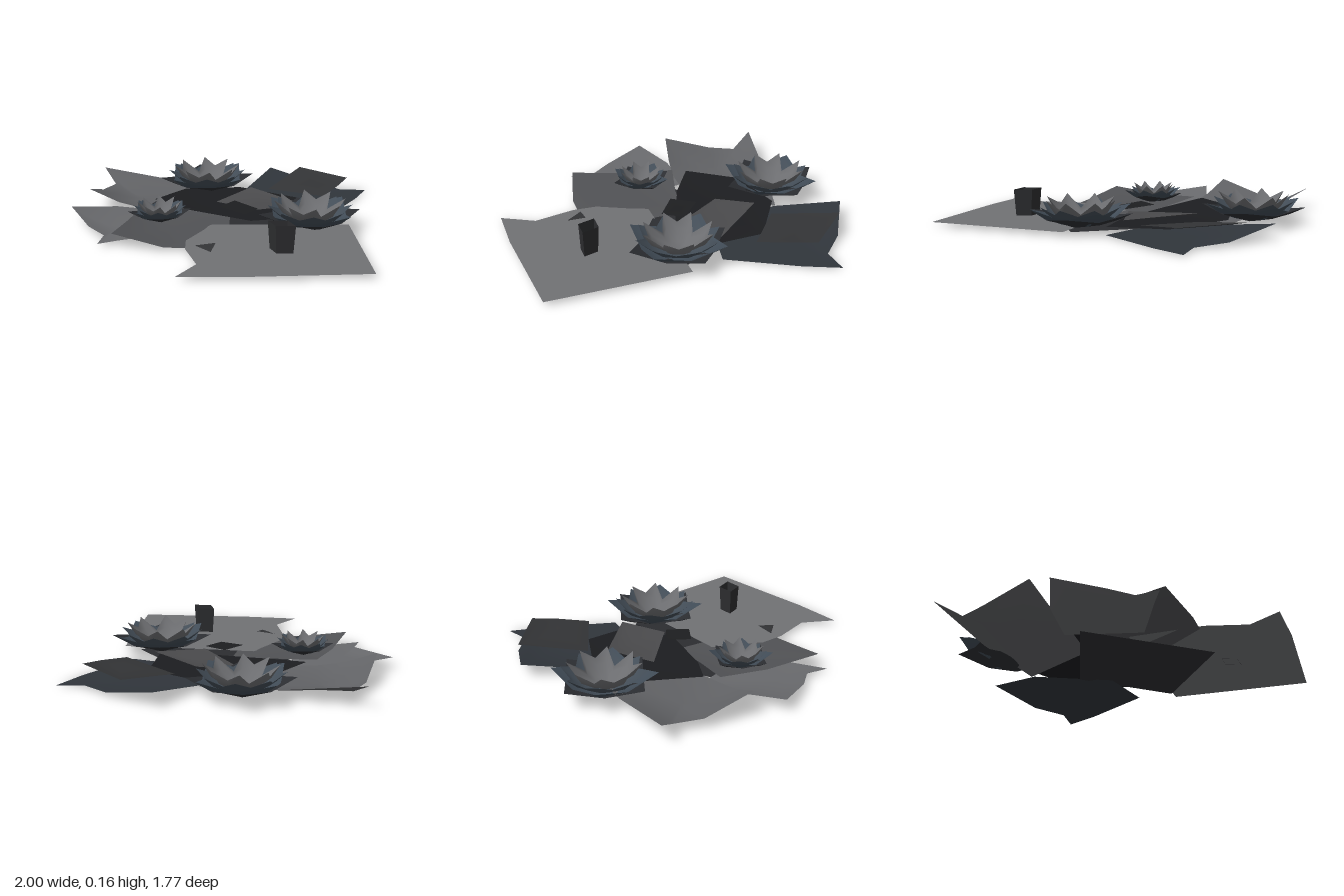
import * as THREE from 'three';

const paint = color => new THREE.MeshStandardMaterial({ color, side: THREE.DoubleSide });

// Sheet lofted through closed rings of [x, y, z] points, its first ring closed to the middle
function loft(name, color, rings) {
  const n = rings[0].length;
  const pos = rings.flat(2);
  const index = [];
  for (let r = 0; r < rings.length - 1; r++) {
    for (let i = 0; i < n; i++) {
      const a = r * n + i, b = r * n + (i + 1) % n, c = a + n, d = b + n;
      index.push(a, b, c, b, d, c);
    }
  }
  const mid = [0, 1, 2].map(k => rings[0].reduce((s, p) => s + p[k], 0) / n);
  pos.push(...mid);
  for (let i = 0; i < n; i++) index.push(rings.length * n, (i + 1) % n, i);
  const g = new THREE.BufferGeometry();
  g.setAttribute('position', new THREE.Float32BufferAttribute(pos, 3));
  g.setIndex(index);
  g.computeVertexNormals();
  const mesh = new THREE.Mesh(g, paint(color));
  mesh.name = name;
  return mesh;
}

// Thin leaf: outline of [x, y, z] corners, dished towards a low middle
function leaf(name, color, midY, outline) {
  const n = outline.length;
  const cx = outline.reduce((s, p) => s + p[0], 0) / n;
  const cz = outline.reduce((s, p) => s + p[2], 0) / n;
  const rings = [0.25, 0.5, 0.75, 1].map(t => outline.map(([x, y, z]) =>
    [cx + (x - cx) * t, midY + (y - midY) * t * t, cz + (z - cz) * t]));
  return loft(name, color, rings);
}

// Upturned ring of pointed petals; each step is [tipRadius, valleyRadius, tipY, valleyY].
// Every second valley is drawn in by the factor split, which parts the petals.
function petalRing(name, color, count, turn, steps, split = 1) {
  const rings = steps.map(([rt, rv, yt, yv]) => Array.from({ length: count * 2 }, (_, i) => {
    const a = turn + i * Math.PI / count;
    const r = i % 2 === 0 ? rt : i % 4 === 1 ? rv * split : rv;
    const y = i % 2 === 0 ? yt : i % 4 === 1 ? yv * split : yv;
    return [r * Math.cos(a), y, r * Math.sin(a)];
  }));
  return loft(name, color, rings);
}

function flower(x, y, z, scale, heightScale) {
  const g = new THREE.Group();
  g.name = 'waterFlower';
  // Square sepal sheet under the bloom
  g.add(petalRing('sepals', 0x2c2e32, 4, Math.PI / 4, [
    [0.1, 0.075, 0, 0], [0.19, 0.135, 0.03, 0.02], [0.264, 0.187, 0.065, 0.035]]));
  // Wide outer petals
  g.add(petalRing('outerPetals', 0x414c57, 4, 0.16, [
    [0.1, 0.08, 0.005, 0.005], [0.19, 0.14, 0.04, 0.025], [0.262, 0.185, 0.09, 0.045]]));
  // Middle petals
  g.add(petalRing('middlePetals', 0x434d57, 8, 0.16, [
    [0.09, 0.085, 0.012, 0.012], [0.16, 0.145, 0.05, 0.045], [0.215, 0.165, 0.1, 0.065]]));
  // Upright inner petals, parted by four gaps
  g.add(petalRing('innerPetals', 0x6c6d70, 8, 0.08, [
    [0.07, 0.065, 0.02, 0.02], [0.14, 0.125, 0.065, 0.06], [0.183, 0.145, 0.13, 0.09]], 0.72));
  g.position.set(x, y, z);
  g.scale.set(scale, heightScale, scale);
  return g;
}

export function createModel() {
  const model = new THREE.Group();
  model.name = 'waterLilies';

  // Large flat leaf at the front left
  model.add(leaf('flatLeaf', 0x707174, 0.03, [
    [0.55, 0.03, -0.22], [1, 0.03, 0.35], [0.52, 0.03, 0.73], [0.29, 0.03, 0.885],
    [0.27, 0.03, 0.7], [0.1, 0.03, 0.56], [-0.12, 0.03, 0.25], [0.2, 0.03, 0.03]]));

  // Dark leaf lying lowest, under the middle
  model.add(leaf('bottomLeaf', 0x2c2d30, 0.01, [
    [0.48, 0.015, -0.17], [-0.04, 0.015, -0.3], [-0.37, 0.015, 0.19], [0.32, 0.015, 0.385]]));

  // Broad leaf with two raised tips
  model.add(leaf('sideLeaf', 0x616265, 0.02, [
    [-1, 0.12, -0.13], [-0.62, 0.06, -0.31], [-0.25, 0.03, -0.45], [-0.2, 0.02, 0],
    [-0.45, 0.04, 0.18], [-0.58, 0.07, 0.24], [-0.73, 0.135, 0.305],
    [-0.84, 0.06, 0.07], [-0.87, 0.055, -0.07]]));

  // Two overlapping front leaves
  model.add(leaf('lowerFrontLeaf', 0x68696c, 0.02, [
    [-0.715, 0.077, 0.46], [-0.49, 0.04, 0.58], [-0.355, 0.03, 0.62], [-0.3, 0.026, 0.73],
    [-0.25, 0.026, 0.63], [-0.1, 0.02, 0.35], [-0.4, 0.02, 0.1], [-0.58, 0.05, 0.25]]));
  model.add(leaf('upperFrontLeaf', 0x515255, 0.035, [
    [-0.45, 0.07, 0.18], [-0.36, 0.06, 0.42], [-0.24, 0.08, 0.695], [0, 0.03, 0.6],
    [0.1, 0.025, 0.53], [0.1, 0.02, 0.2], [-0.03, 0.03, 0], [-0.24, 0.05, 0.1]]));

  // Back leaf with a smaller raised leaf above it
  model.add(leaf('backLeaf', 0x30353b, 0.015, [
    [-0.285, 0.085, -0.785], [0, 0.03, -0.82], [0.18, 0.02, -0.8], [0.29, 0.015, -0.89],
    [0.33, 0.015, -0.7], [0.37, 0.015, -0.32], [0.1, 0.01, -0.2], [-0.24, 0.03, -0.44]]));
  model.add(leaf('raisedBackLeaf', 0x333436, 0.085, [
    [-0.1, 0.11, -0.81], [0.24, 0.108, -0.76], [0.257, 0.095, -0.63],
    [0.26, 0.075, -0.46], [-0.09, 0.06, -0.46]]));

  // Leaves in the middle
  model.add(leaf('centreLeaf', 0x1c1d20, 0.035, [
    [-0.46, 0.065, -0.19], [-0.45, 0.075, 0.1], [-0.24, 0.05, 0.09], [0.1, 0.025, 0],
    [0.3, 0.03, -0.2], [0.1, 0.04, -0.46], [-0.26, 0.05, -0.43]]));
  model.add(leaf('middleLeaf', 0x4a4a4c, 0.06, [
    [-0.14, 0.085, -0.36], [-0.21, 0.045, -0.13], [0.1, 0.07, -0.06], [0.25, 0.07, -0.28]]));
  model.add(leaf('smallLeaf', 0x1d1e20, 0.085, [
    [-0.05, 0.093, -0.07], [-0.05, 0.093, 0.07], [0.11, 0.08, 0.07], [0.11, 0.08, -0.05]]));
  // Leaf tip showing through the flat leaf
  model.add(leaf('leafTip', 0x323335, 0.042, [
    [0.12, 0.038, 0.51], [0.235, 0.036, 0.54], [0.2, 0.05, 0.45]]));

  // Blooms
  model.add(flower(-0.45, 0.035, -0.375, 1, 1));
  model.add(flower(0.39, 0.035, -0.1, 1, 1));
  model.add(flower(-0.258, 0.05, 0.3, 0.615, 0.72));

  // Open four-sided bud stem
  const stem = new THREE.Mesh(
    new THREE.CylinderGeometry(0.078, 0.066, 0.138, 4, 1, true).toNonIndexed(), paint(0x2c2d2f));
  stem.geometry.computeVertexNormals();
  stem.name = 'openStem';
  stem.scale.z = 0.68;
  stem.position.set(0.488, 0.097, 0.322);
  model.add(stem);

  return model;
}
